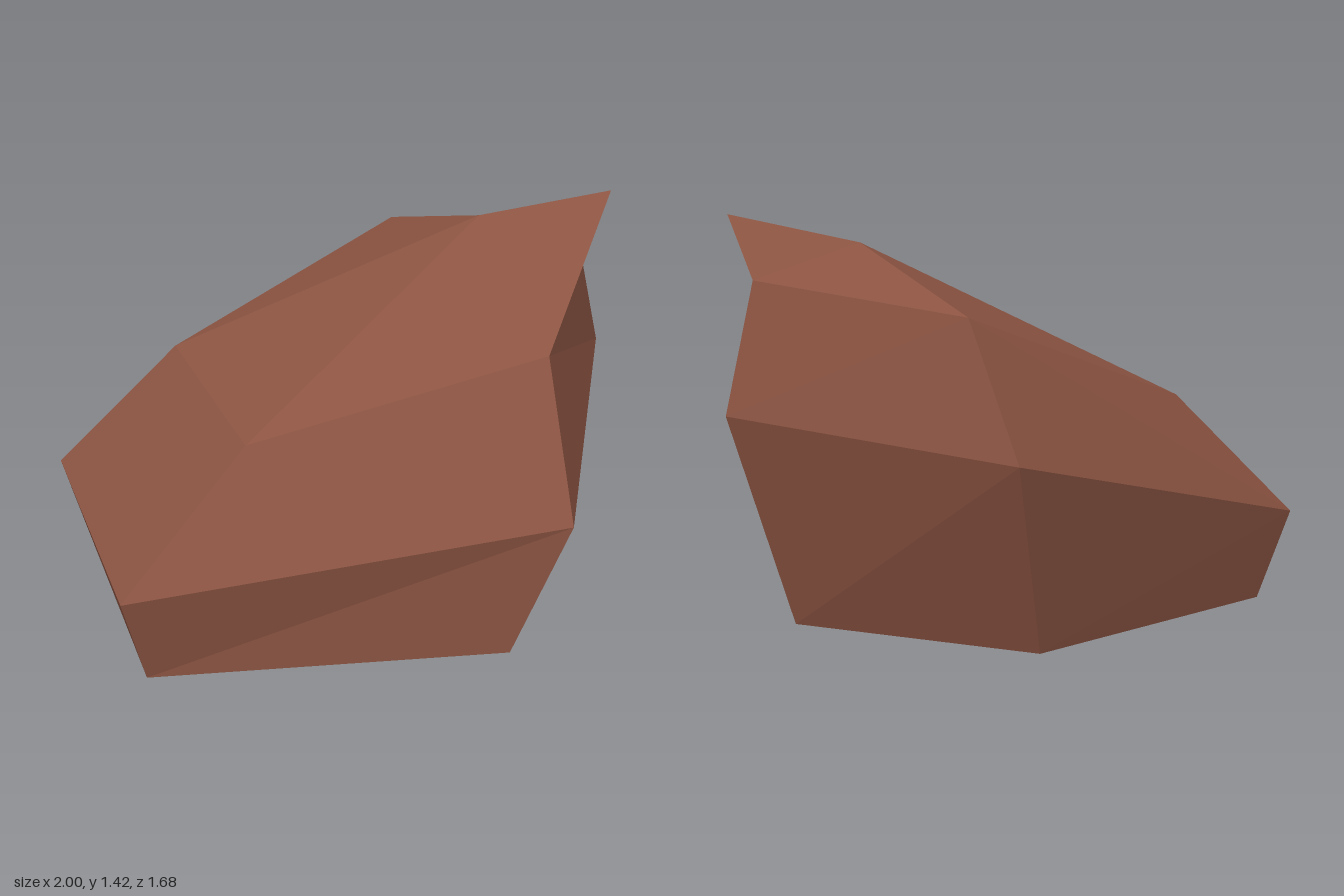
import * as THREE from 'three';

// Corners of the boulder
const corners = {
  // base
  baseFront: [0.37, 0, 0.82], baseLeft: [0.76, 0, -0.03], baseBack: [0.10, 0, -0.65],
  baseRightBack: [-0.90, 0, -0.38], baseRightFront: [-0.84, 0, 0.69],
  // waist
  front: [0.57, 0.45, 0.84], left: [1.0, 0.77, -0.08], back: [0.26, 0.69, -0.84],
  rightBack: [-1.0, 0.33, -0.43], rightFront: [-0.92, 0.30, 0.74],
  // shoulder
  shoulderFront: [0.57, 0.95, 0.55], shoulderLeft: [0.89, 1.22, -0.06], shoulderBack: [0.35, 1.14, -0.64],
  slopeBack: [-0.56, 0.78, -0.35], slopeFront: [-0.47, 0.73, 0.55],
  // summit
  peak: [0.90, 1.42, 0.22], ridge: [0.47, 1.32, 0.07],
};

// Facets as corner loops, grouped by side
const facets = [
  // underside
  'baseFront baseLeft baseBack baseRightBack baseRightFront',
  // front
  'baseRightFront baseFront front rightFront',
  'rightFront front shoulderFront slopeFront',
  'slopeFront shoulderFront ridge', 'ridge shoulderFront peak',
  // left
  'baseFront baseLeft front', 'front baseLeft left',
  'front left shoulderFront', 'shoulderFront left shoulderLeft', 'shoulderFront shoulderLeft peak',
  // back
  'baseLeft baseBack back', 'baseLeft back left',
  'left back shoulderBack', 'left shoulderBack shoulderLeft',
  'baseBack baseRightBack rightBack', 'baseBack rightBack back',
  'back rightBack shoulderBack', 'shoulderBack rightBack slopeBack',
  // right end and sloping top
  'baseRightBack baseRightFront rightFront rightBack',
  'rightBack rightFront slopeFront', 'rightBack slopeFront slopeBack',
  'slopeBack slopeFront ridge', 'slopeBack ridge shoulderBack',
  'ridge shoulderLeft shoulderBack', 'ridge peak shoulderLeft',
];

// Splits each loop into triangles that face away from the core
function facetGeometry() {
  const core = new THREE.Vector3(0, 0.5, 0);
  const points = [];
  for (const facet of facets) {
    const loop = facet.split(' ').map((name) => new THREE.Vector3(...corners[name]));
    for (let i = 1; i < loop.length - 1; i++) {
      const [a, b, c] = [loop[0], loop[i], loop[i + 1]];
      const normal = b.clone().sub(a).cross(c.clone().sub(a));
      const outward = normal.dot(a.clone().sub(core)) > 0;
      points.push(a, ...(outward ? [b, c] : [c, b]));
    }
  }
  const geometry = new THREE.BufferGeometry().setFromPoints(points);
  geometry.computeVertexNormals();
  return geometry;
}

export function createModel() {
  const stone = new THREE.MeshStandardMaterial({ color: 0x8c5442, flatShading: true });
  stone.name = 'reddish brown stone';
  const boulder = new THREE.Mesh(facetGeometry(), stone);
  boulder.name = 'boulder';
  const model = new THREE.Group();
  model.name = 'rock';
  model.add(boulder);
  return model;
}
